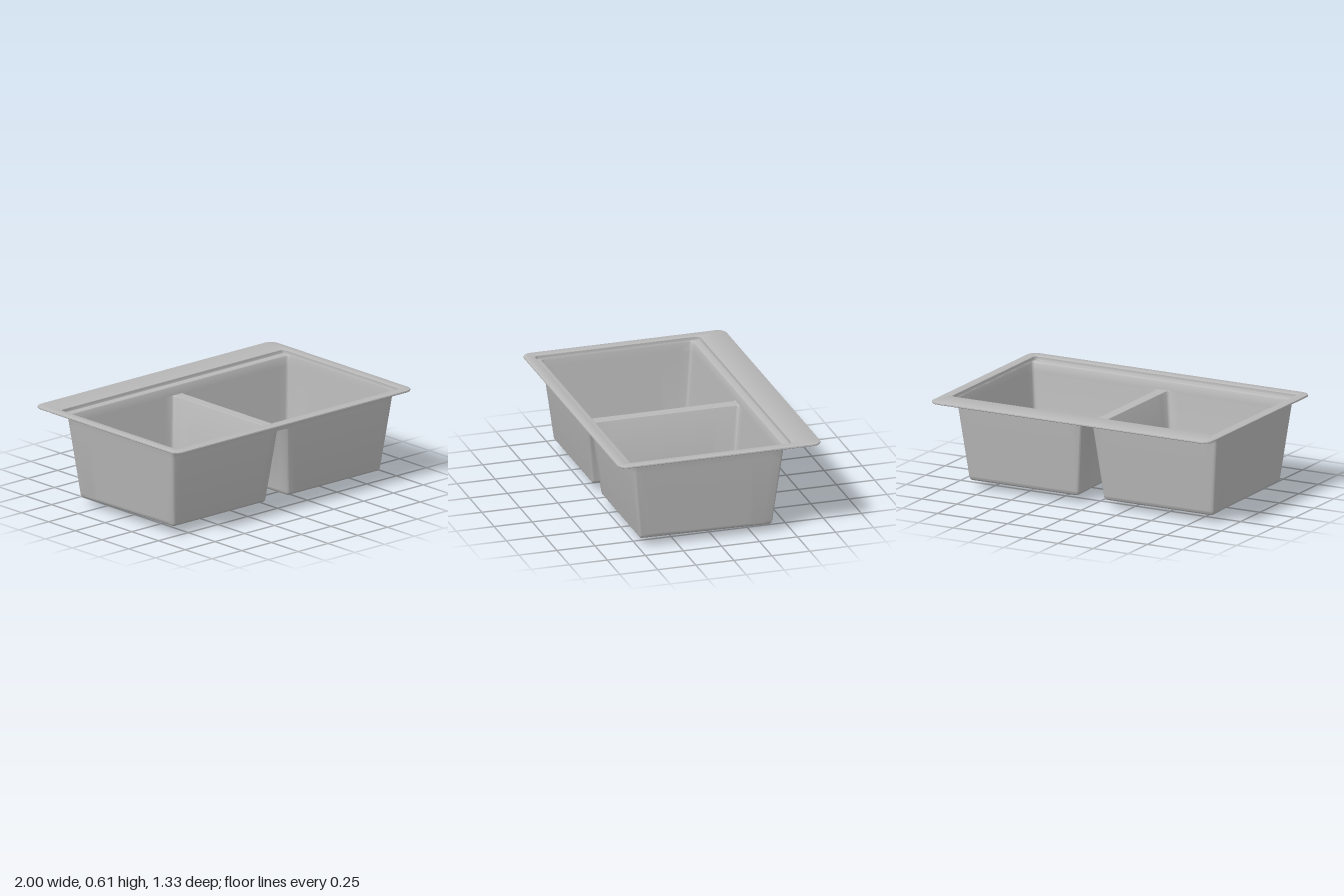
import * as THREE from 'three';
import { mergeVertices, toCreasedNormals } from 'three/addons/utils/BufferGeometryUtils.js';

const SLOPE = 0.115;      // inward lean of the bowl walls
const DIVIDER_Y = 0.528;  // top of the wall between the bowls
const TOP = { x0: -0.932, x1: 0.932, z0: -0.437, z1: 0.556 };
const DRAIN = { x: 0.482, z: -0.107 };

// Rounded rectangle ring; y may be a number or a function of z
function rectRing(x0, x1, z0, z1, r, y, side = 16, corner = 5) {
  const corners = [[x1 - r, z1 - r], [x0 + r, z1 - r], [x0 + r, z0 + r], [x1 - r, z0 + r]];
  const flat = [];
  corners.forEach(([cx, cz], q) => {
    for (let i = 0; i <= corner; i++) {
      const a = (q + i / corner) * Math.PI / 2;
      flat.push([cx + r * Math.cos(a), cz + r * Math.sin(a)]);
    }
    const [nx, nz] = corners[(q + 1) % 4];
    const e = (q + 1) * Math.PI / 2;
    const from = flat[flat.length - 1];
    const to = [nx + r * Math.cos(e), nz + r * Math.sin(e)];
    for (let i = 1; i < side; i++) {
      const t = i / side;
      flat.push([from[0] + (to[0] - from[0]) * t, from[1] + (to[1] - from[1]) * t]);
    }
  });
  return flat.map(([x, z]) => [x, typeof y === 'function' ? y(z) : y, z]);
}

// Circle around the drain with one point for each point of a given ring
function drainRing(ring, radius, y) {
  return ring.map(([x, , z]) => {
    const a = Math.atan2(z - DRAIN.z, x - DRAIN.x);
    return [DRAIN.x + radius * Math.cos(a), y, DRAIN.z + radius * Math.sin(a)];
  });
}

// Skin between successive closed rings
function loft(rings) {
  const n = rings[0].length;
  const index = [];
  for (let k = 0; k < rings.length - 1; k++) {
    for (let i = 0; i < n; i++) {
      const j = (i + 1) % n;
      const a = k * n + i, b = k * n + j, c = a + n, d = b + n;
      index.push(a, c, b, b, c, d);
    }
  }
  const geo = new THREE.BufferGeometry();
  geo.setAttribute('position', new THREE.Float32BufferAttribute(rings.flat(2), 3));
  geo.setIndex(index);
  return toCreasedNormals(mergeVertices(geo, 1e-5), 0.55);
}

export function createModel() {
  const group = new THREE.Group();
  const steel = new THREE.MeshStandardMaterial({ color: 0xb8b8b8, side: THREE.DoubleSide });
  steel.name = 'satin grey';
  const add = (name, geo, parent = group) => {
    const mesh = new THREE.Mesh(geo, steel);
    mesh.name = name;
    parent.add(mesh);
    return mesh;
  };

  // Flat rim plate with rounded corners and softened edge
  const outer = (d, y) => rectRing(-1 + d, 1 - d, -0.667 + d, 0.667 - d, 0.06 - d, y);
  const opening = (d, y) => rectRing(-0.937 + d, 0.937 - d, -0.485 + d, 0.6 - d, 0.025 - d, y);
  add('rim', loft([
    opening(0, 0.598), outer(0.004, 0.598), outer(0, 0.602), outer(0, 0.607),
    outer(0.0015, 0.6105), outer(0.005, 0.612), opening(-0.005, 0.612),
    opening(-0.0015, 0.6105), opening(0, 0.607),
  ]));

  // Recessed ledge and the upper wall shared by both bowls
  const wall = (y, d = 0) => {
    const k = (0.585 - y) * SLOPE + d;
    return rectRing(TOP.x0 + k, TOP.x1 - k, TOP.z0 + k, TOP.z1 - k, 0.02, y);
  };
  add('ledge', loft([
    opening(0, 0.607), opening(0, 0.591), opening(0.002, 0.587),
    rectRing(-0.934, 0.934, TOP.z0 - 0.01, TOP.z1 + 0.01, 0.021, 0.587),
    rectRing(-0.933, 0.933, TOP.z0 - 0.003, TOP.z1 + 0.003, 0.02, 0.584),
    wall(0.577), wall(DIVIDER_Y),
  ]));

  // Top of the divider, flared into the bowl corners at both ends
  const k = (0.585 - DIVIDER_Y) * SLOPE;
  const zBack = TOP.z0 + k, zFront = TOP.z1 - k, w = 0.032, r = 0.02;
  const strip = new THREE.Shape();
  strip.moveTo(-w - r, -zFront);
  strip.lineTo(w + r, -zFront);
  strip.quadraticCurveTo(w, -zFront, w, -zFront + r);
  strip.lineTo(w, -zBack - r);
  strip.quadraticCurveTo(w, -zBack, w + r, -zBack);
  strip.lineTo(-w - r, -zBack);
  strip.quadraticCurveTo(-w, -zBack, -w, -zBack - r);
  strip.lineTo(-w, -zFront + r);
  strip.quadraticCurveTo(-w, -zFront, -w - r, -zFront);
  add('dividerTop', new THREE.ShapeGeometry(strip).rotateX(-Math.PI / 2).translate(0, DIVIDER_Y, 0));

  // Bowl: leaning walls, rounded bottom edge, floor falling to the drain
  const floorY = (z) => 0.046 + (z + 0.38) / 0.88 * 0.011;
  const bowlRing = (level, y, d = 0, inner = 0, radius = 0.02) => {
    const i = (0.585 - level) * SLOPE + d;
    return rectRing(0.037 + (DIVIDER_Y - level) * SLOPE + d + inner, TOP.x1 - i,
      TOP.z0 + i, TOP.z1 - i, radius, y);
  };
  const fillet = 0.032;
  const bowlRings = [
    bowlRing(DIVIDER_Y, DIVIDER_Y, 0, -0.005),
    bowlRing(DIVIDER_Y - 0.002, DIVIDER_Y - 0.002, 0, -0.0018),
    bowlRing(DIVIDER_Y - 0.007, DIVIDER_Y - 0.007),
  ];
  for (let s = 0; s <= 6; s++) {
    const a = s / 6 * Math.PI / 2;
    const d = fillet * (1 - Math.cos(a));
    bowlRings.push(bowlRing(0.09, (z) => floorY(z) + fillet * (1 - Math.sin(a)), d, 0,
      Math.max(0.005, 0.02 - d)));
  }
  const edge = bowlRings[bowlRings.length - 1];
  bowlRings.push(drainRing(edge, 0.137, 0.036));
  const bowlGeo = loft(bowlRings);

  // Drain: shallow seat and short open outlet
  const drainGeo = loft([[0.137, 0.036], [0.133, 0.029], [0.124, 0.026], [0.112, 0.026], [0.112, 0]]
    .map(([radius, y]) => drainRing(edge, radius, y)));

  for (const side of [1, -1]) {
    const half = new THREE.Group();
    half.name = side > 0 ? 'leftBasin' : 'rightBasin';
    half.scale.x = side;
    add('bowl', bowlGeo, half);
    add('drain', drainGeo, half);
    group.add(half);
  }
  return group;
}
